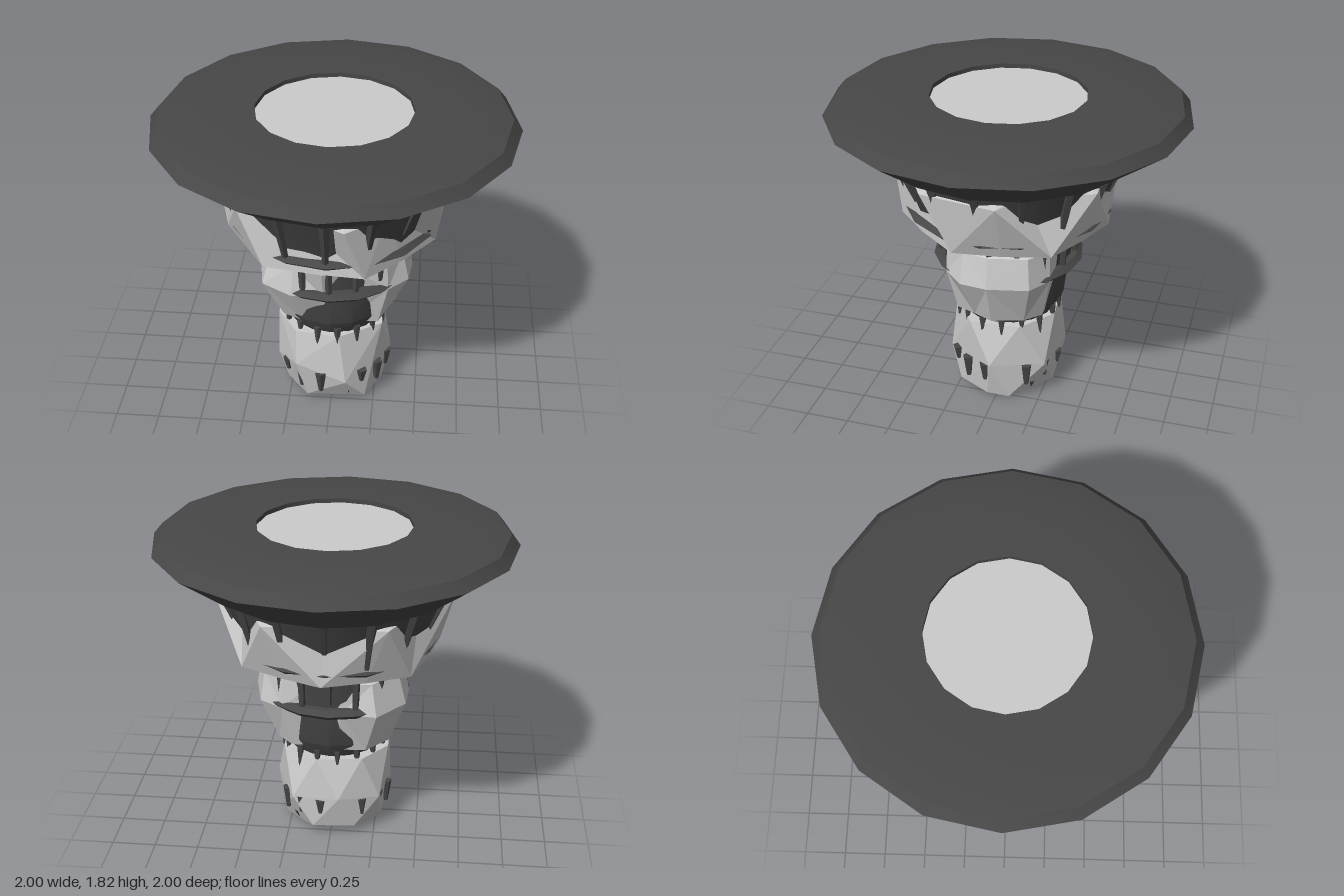
import * as THREE from 'three';
import { toCreasedNormals } from 'three/addons/utils/BufferGeometryUtils.js';
import { ConvexGeometry } from 'three/addons/geometries/ConvexGeometry.js';

const SIDES = 16;
const dark = new THREE.MeshStandardMaterial({ color: 0x474747, side: THREE.DoubleSide });
const darkFlat = new THREE.MeshStandardMaterial({ color: 0x474747, flatShading: true });
const rock = new THREE.MeshStandardMaterial({ color: 0xcccccc, flatShading: true, side: THREE.DoubleSide });

// angle 0 is the front, turning towards +x
const polar = (deg, r, y) => {
  const a = THREE.MathUtils.degToRad(deg);
  return new THREE.Vector3(Math.sin(a) * r, y, Math.cos(a) * r);
};

function add(group, name, geometry, material) {
  const mesh = new THREE.Mesh(geometry, material);
  mesh.name = name;
  group.add(mesh);
  return mesh;
}

// turned part from [radius, y] pairs, listed from the bottom up the outside
function turned(group, name, profile) {
  const g = new THREE.LatheGeometry(profile.map(([r, y]) => new THREE.Vector2(r, y)), SIDES);
  return add(group, name, toCreasedNormals(g, 0.5), dark);
}

// faceted band between rows of points, bottom row first
function rockBand(group, name, rows) {
  const n = rows[0].length, pos = [];
  const tri = (...pts) => pts.forEach(p => pos.push(p.x, p.y, p.z));
  for (let j = 0; j < rows.length - 1; j++) {
    for (let i = 0; i < n; i++) {
      const k = (i + 1) % n;
      const [a, b, c, d] = [rows[j][i], rows[j][k], rows[j + 1][k], rows[j + 1][i]];
      if ((i + j) % 2) { tri(a, b, c); tri(a, c, d); }
      else { tri(a, b, d); tri(b, c, d); }
    }
  }
  const g = new THREE.BufferGeometry();
  g.setAttribute('position', new THREE.Float32BufferAttribute(pos, 3));
  g.computeVertexNormals();
  return add(group, name, g, rock);
}

// tapered bar running from one point to another
function bar(group, name, from, to, rFrom, rTo) {
  const dir = new THREE.Vector3().subVectors(from, to);
  const mesh = add(group, name, new THREE.CylinderGeometry(rFrom, rTo, dir.length(), 5), darkFlat);
  mesh.position.addVectors(from, to).multiplyScalar(0.5);
  mesh.quaternion.setFromUnitVectors(new THREE.Vector3(0, 1, 0), dir.normalize());
  return mesh;
}

export function createModel() {
  const model = new THREE.Group();

  // platform with a shallow round recess
  turned(model, 'platform', [
    [0.4, 1.48], [0.65, 1.49], [0.73, 1.53], [1, 1.73], [0.95, 1.79],
    [0.79, 1.82], [0.43, 1.82], [0.43, 1.79],
  ]);
  const floor = add(model, 'platformFloor', new THREE.CircleGeometry(0.435, SIDES), rock);
  floor.rotation.x = -Math.PI / 2;
  floor.position.y = 1.795;

  // dark core and bands
  turned(model, 'upperCore', [[0.4, 1.11], [0.5, 1.11], [0.56, 1.28], [0.65, 1.5]]);
  turned(model, 'collar', [[0.36, 1.06], [0.43, 1.07], [0.46, 1.1], [0.46, 1.12], [0.3, 1.13]]);
  turned(model, 'lowerCore', [[0, 0.525], [0.28, 0.525], [0.33, 0.62], [0.35, 0.8], [0.37, 0.92], [0.38, 1.1]]);
  turned(model, 'upperRing', [[0.5, 1.14], [0.545, 1.145], [0.585, 1.18], [0.56, 1.205], [0.5, 1.21]]);
  turned(model, 'lowerRing', [[0.33, 0.825], [0.4, 0.825], [0.43, 0.855], [0.4, 0.88], [0.33, 0.88]]);

  // upper rock: [top angle, top radius, bottom angle, bottom radius]
  const upper = [
    [-47, 0.66, -35, 0.6], [-18, 0.53, -8, 0.545], [9, 0.66, 20, 0.6], [33, 0.57, 46, 0.545],
    [62, 0.67, 75, 0.59], [100, 0.67, 102, 0.55], [116, 0.53, 128, 0.6], [150, 0.66, 154, 0.545],
    [180, 0.56, 178, 0.58], [210, 0.66, 203, 0.545], [240, 0.55, 228, 0.6], [268, 0.67, 253, 0.55],
    [290, 0.57, 280, 0.6],
  ];
  rockBand(model, 'upperRock', [
    upper.map(c => polar(c[2], 0.4, 1.115)),
    upper.map(c => polar(c[2], c[3], 1.115)),
    upper.map(c => polar(c[0], c[1], 1.45)),
    upper.map(c => polar(c[0], 0.5, 1.48)),
  ]);

  // middle rock: [angle, top radius, waist radius, bottom radius]
  const middle = [
    [-90, 0.38, 0.43, 0.31], [-55, 0.42, 0.47, 0.34], [-30, 0.4, 0.43, 0.3], [-5, 0.42, 0.37, 0.27],
    [20, 0.36, 0.33, 0.25], [50, 0.41, 0.42, 0.35], [70, 0.42, 0.46, 0.33], [90, 0.42, 0.45, 0.36],
    [120, 0.43, 0.46, 0.35], [140, 0.4, 0.41, 0.34], [165, 0.35, 0.33, 0.27], [190, 0.36, 0.36, 0.3],
    [215, 0.41, 0.46, 0.35], [245, 0.41, 0.46, 0.36],
  ];
  rockBand(model, 'middleRock', [
    middle.map(c => polar(c[0], 0.25, 0.55)),
    middle.map(c => polar(c[0], c[3], 0.58)),
    middle.map(c => polar(c[0], c[2], 0.84)),
    middle.map(c => polar(c[0], c[1], 1.02)),
    middle.map(c => polar(c[0], 0.34, 1.05)),
  ]);

  // base boulder
  const boulder = [
    [-0.32, 0.51, 0.08], [-0.2, 0.51, 0.27], [0.05, 0.51, 0.3], [0.29, 0.51, 0.15], [0.28, 0.51, -0.14],
    [0.08, 0.51, -0.3], [-0.18, 0.51, -0.27], [-0.32, 0.51, -0.1],
    [0.09, 0.19, 0.33], [-0.2, 0.3, 0.31], [0.34, 0.25, 0.02], [0.22, 0.24, -0.28], [-0.05, 0.27, -0.34],
    [-0.33, 0.2, 0.08], [-0.28, 0.24, -0.23],
    [-0.14, 0.04, 0.27], [0.2, 0.03, 0.24], [0.29, 0.02, 0.05], [0.28, 0.01, -0.08], [0.1, 0.06, -0.3],
    [-0.14, 0.06, -0.28], [-0.28, 0.01, -0.07], [-0.27, 0.03, 0.1], [0, 0, -0.07],
  ];
  add(model, 'baseBoulder', new ConvexGeometry(boulder.map(p => new THREE.Vector3(...p))), rock);

  // ribs, hanging spikes and studs, repeated round the column
  for (let i = 0; i < SIDES; i++) {
    const deg = (i * 360) / SIDES, drop = 0.05 * ((i * 7) % 3);
    bar(model, 'upperRib', polar(deg, 0.645, 1.51), polar(deg, 0.565, 1.21 + drop), 0.03, 0.018);
    bar(model, 'middleRib', polar(deg, 0.395, 1.09), polar(deg, 0.385, 0.86 + drop / 2), 0.024, 0.018);
    const spikeTop = polar(deg + 8, 0.29, 0.565), spikeTip = polar(deg + 8, 0.3, 0.43 + drop / 2);
    bar(model, 'hangingSpike', spikeTop, spikeTip, 0.024, 0.006);
    if (i % 4 !== 1) {
      bar(model, 'baseStud', polar(deg - 10, 0.315, 0.245), polar(deg - 10, 0.315, 0.11 + drop / 2), 0.034, 0.014);
    }
    if (i % 5 === 1) {
      bar(model, 'smallStud', polar(deg, 0.285, 0.1), polar(deg, 0.27, 0.05), 0.02, 0.008);
    }
  }
  return model;
}
